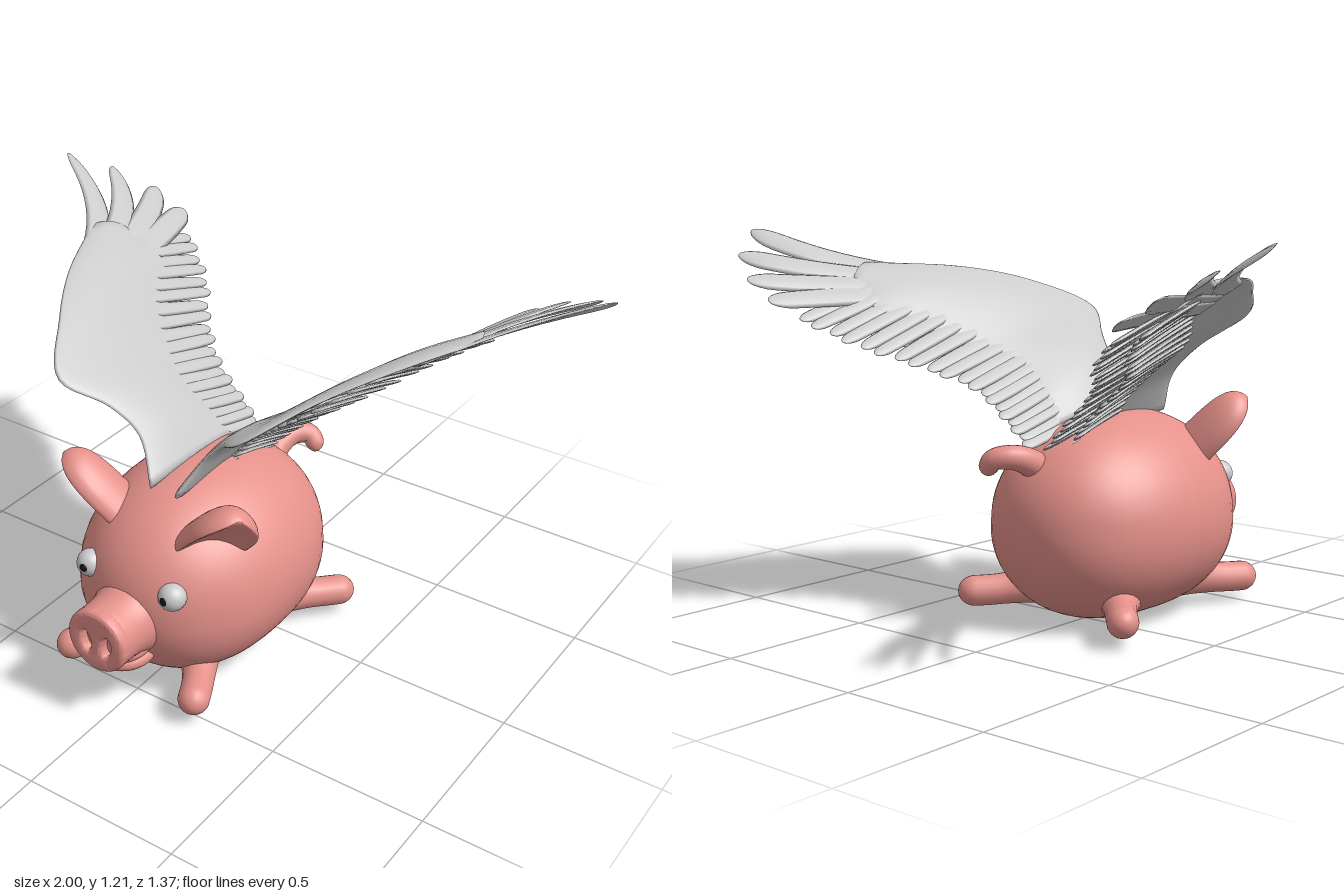
import * as THREE from 'three';
import { toCreasedNormals } from 'three/addons/utils/BufferGeometryUtils.js';

const V = (x, y, z) => new THREE.Vector3(x, y, z);
const path = pts => new THREE.CatmullRomCurve3(pts.map(p => V(...p)));
const pink = new THREE.MeshStandardMaterial({ color: 0xe5918a });
const grey = new THREE.MeshStandardMaterial({ color: 0xcccccc });
const black = new THREE.MeshStandardMaterial({ color: 0x111111 });

function mesh(name, geometry, material, parent) {
  const m = new THREE.Mesh(geometry, material);
  m.name = name;
  parent.add(m);
  return m;
}

// Closed skin over a row of rings; side = -1 mirrors it in x. Faces always end up outward.
function loft(rings, side = 1) {
  const n = rings[0].length, last = rings.length - 1, index = [];
  const pts = rings.flat();
  const centre = ring => ring.reduce((a, p) => a.add(p), V(0, 0, 0)).divideScalar(n);
  pts.push(centre(rings[0]), centre(rings[last]));
  const c0 = pts.length - 2, c1 = pts.length - 1;
  for (let j = 0; j < n; j++) {
    const k = (j + 1) % n;
    for (let i = 0; i < last; i++) {
      const a = i * n + j, b = i * n + k;
      index.push(a, b, a + n, b, b + n, a + n);
    }
    index.push(c0, k, j, c1, last * n + j, last * n + k);
  }
  const p = pts.map(q => V(q.x * side, q.y, q.z));
  let volume = 0;
  for (let i = 0; i < index.length; i += 3) {
    const [a, b, c] = [0, 1, 2].map(k => p[index[i + k]].clone().sub(p[0]));
    volume += a.dot(b.cross(c));
  }
  if (volume < 0) index.reverse();
  const g = new THREE.BufferGeometry().setFromPoints(p);
  g.setIndex(index);
  g.computeVertexNormals();
  return g;
}

// Round limb along a curve with a radius rule
function limb(curve, radius, side = 1, steps = 28, n = 16) {
  const rings = [], frames = curve.computeFrenetFrames(100);
  for (let i = 0; i <= steps; i++) {
    const s = Math.sin(i / steps * Math.PI / 2), c = curve.getPointAt(s), f = Math.round(s * 100);
    rings.push(Array.from({ length: n }, (_, j) => {
      const a = j / n * Math.PI * 2, r = radius(s);
      return c.clone().addScaledVector(frames.normals[f], r * Math.cos(a))
        .addScaledVector(frames.binormals[f], r * Math.sin(a));
    }));
  }
  return loft(rings, side);
}
const roundEnd = (s, from) => s < from ? 1 : Math.sqrt(Math.max(0.0001, 1 - ((s - from) / (1 - from)) ** 2));

// Thick cupped ear opening forward, outward and down
function earGeometry(side) {
  const base = V(0.195, 0.558, 0.352), u = V(0.125, 0.135, 0.052);
  const w = V(0.14, -0.06, -0.19).normalize(), nrm = w.clone().cross(u).normalize();
  const rings = [];
  for (let i = 0; i <= 20; i++) {
    const t = -0.3 + 1.3 * Math.sin(i / 20 * Math.PI / 2), q = Math.max(0, t);
    const hw = 0.108 * Math.max(0.01, 1 - q ** 2.6) ** 0.55, th = 0.038 * Math.max(0.02, 1 - q ** 6) ** 0.5;
    rings.push(Array.from({ length: 32 }, (_, j) => {
      const a = Math.cos(j / 32 * Math.PI * 2), b = Math.sin(j / 32 * Math.PI * 2);
      return base.clone().addScaledVector(u, t).addScaledVector(w, hw * a)
        .addScaledVector(nrm, th * Math.sign(b) * Math.abs(b) ** 0.6 + hw * (0.5 * a * a - 0.3));
    }));
  }
  return loft(rings, side);
}

// Wing edges from shoulder to hand, and the line of the feather tips
const leading = path([[0.045, 0.64, 0.35], [0.12, 0.77, 0.3], [0.2, 0.86, 0.335], [0.315, 0.95, 0.42],
  [0.45, 1.04, 0.25], [0.57, 1.085, 0.06], [0.71, 1.105, -0.23]]);
const trailing = path([[0.05, 0.62, -0.1], [0.12, 0.68, -0.1], [0.21, 0.755, -0.1], [0.32, 0.835, -0.16],
  [0.44, 0.915, -0.28], [0.54, 0.98, -0.38], [0.64, 1.03, -0.38]]);
const tips = path([[0.04, 0.575, -0.24], [0.12, 0.65, -0.25], [0.215, 0.73, -0.27], [0.34, 0.8, -0.38],
  [0.46, 0.87, -0.53], [0.6, 0.95, -0.635]]);

function wingPoint(t, v, lift = 0) {
  const a = leading.getPoint(t), chord = trailing.getPoint(t).sub(a);
  const up = leading.getPoint(Math.min(1, t + 0.1)).sub(leading.getPoint(Math.max(0, t - 0.1)));
  up.x += 0.1; up.z = 0;
  up.cross(chord).normalize();
  return a.addScaledVector(chord, v).addScaledVector(up, 0.022 * Math.sin(Math.PI * v) + lift);
}

// Flat feather with a blunt round tip, along a bent line
function feather(base, bend, tip, width, blunt, side) {
  const curve = new THREE.QuadraticBezierCurve3(base, bend, tip), rings = [];
  for (let i = 0; i <= 16; i++) {
    const s = Math.sin(i / 16 * Math.PI / 2), c = curve.getPoint(s), d = curve.getTangent(s);
    const across = V(0.75, 0.5, 0.05).addScaledVector(d, -V(0.75, 0.5, 0.05).dot(d)).normalize();
    const up = across.clone().cross(d).normalize();
    const w = width * roundEnd(s, blunt) * (0.8 + 0.2 * Math.sin(Math.PI * s));
    rings.push(Array.from({ length: 8 }, (_, j) => {
      const a = j / 8 * Math.PI * 2;
      return c.clone().addScaledVector(across, w * Math.cos(a))
        .addScaledVector(up, 0.006 * roundEnd(s, blunt) * Math.sin(a) - 0.12 * w * Math.cos(a) ** 2);
    }));
  }
  return loft(rings, side);
}

function buildWing(side) {
  const wing = new THREE.Group();
  wing.name = side > 0 ? 'leftWing' : 'rightWing';
  // Arm of the wing, thick in front and thin behind
  const rings = [];
  for (let i = 0; i <= 36; i++) {
    const t = i / 36, th = 0.022 * (1 - 0.6 * t);
    rings.push(Array.from({ length: 24 }, (_, j) => {
      const a = j / 24 * Math.PI * 2, v = 0.5 - 0.5 * Math.cos(a);
      return wingPoint(t, v, th * Math.sin(a) * (1.25 - v));
    }));
  }
  mesh('wingArm', loft(rings, side), grey, wing);
  // Four long spread feathers at the hand
  const long = [
    [[0.6, 1.07, -0.08], [0.725, 1.1, -0.38], [1.0, 1.21, -0.475]],
    [[0.585, 1.055, -0.1], [0.68, 1.08, -0.45], [0.91, 1.14, -0.6]],
    [[0.565, 1.035, -0.12], [0.645, 1.05, -0.47], [0.78, 1.07, -0.675]],
    [[0.54, 1.015, -0.12], [0.605, 1.02, -0.48], [0.67, 1.01, -0.685]]];
  for (const f of long) mesh('primaryFeather', feather(...f.map(p => V(...p)), 0.046, 0.84, side), grey, wing);
  // Rear feathers, with a shorter row beneath them
  const count = 20;
  for (let i = 0; i < count; i++) {
    const u = i / (count - 1), t = 0.02 + u * 0.88;
    for (const row of [0, 1]) {
      const base = wingPoint(t, 0.6, -0.008 - 0.016 * row);
      const tip = tips.getPoint(u);
      tip.z += (i % 2) * 0.015;
      if (row) tip.lerp(base, 0.3).add(V(0.01, -0.018, 0));
      const bend = base.clone().lerp(tip, 0.55).add(V(-0.002, 0.004, 0));
      mesh(row ? 'underFeather' : 'rearFeather', feather(base, bend, tip, 0.027, 0.88, side), grey, wing);
    }
  }
  return wing;
}

function ball(name, radii, at, parent) {
  const m = mesh(name, new THREE.SphereGeometry(1, 36, 24), pink, parent);
  m.scale.set(...radii);
  m.position.set(...at);
}

export function createModel() {
  const model = new THREE.Group();
  model.name = 'wingedPig';
  const pig = new THREE.Group();
  pig.name = 'pig';
  pig.position.x = -0.008;
  model.add(pig);

  // Plump body: a sphere squared off along its length, more so below
  const body = new THREE.SphereGeometry(1, 56, 40);
  const pos = body.attributes.position;
  for (let i = 0; i < pos.count; i++) {
    const p = V(0, 0, 0).fromBufferAttribute(pos, i), e = 2.15 + 0.5 * Math.max(0, -p.y);
    p.divideScalar((Math.hypot(p.x, p.y) ** e + Math.abs(p.z) ** e) ** (1 / e));
    pos.setXYZ(i, p.x * 0.34 * (1 - 0.05 * p.y), 0.33 + p.y * 0.328, 0.135 + p.z * 0.425);
  }
  body.computeVertexNormals();
  mesh('body', body, pink, pig);

  // Snout flowing out of the face, with a pierced front disc
  const profile = [[0, 0.46], [0.14, 0.48], [0.12, 0.53], [0.108, 0.565], [0.104, 0.6], [0.104, 0.63],
    [0.104, 0.662], [0.098, 0.667], [0.09, 0.652], [0, 0.65]];
  const snout = new THREE.LatheGeometry(profile.map(p => new THREE.Vector2(...p)), 40);
  snout.rotateX(Math.PI / 2);
  mesh('snout', snout, pink, pig).position.y = 0.293;
  const disc = new THREE.Shape().absellipse(0, 0, 0.089, 0.089, 0, Math.PI * 2);
  for (const s of [-1, 1]) {
    disc.holes.push(new THREE.Path().absellipse(s * 0.037, -0.008, 0.03, 0.05, 0, Math.PI * 2, true, -s * 0.15));
  }
  const front = new THREE.ExtrudeGeometry(disc, { depth: 0.018, bevelEnabled: true, bevelThickness: 0.016,
    bevelSize: 0.015, bevelSegments: 5, curveSegments: 36 });
  mesh('snoutDisc', toCreasedNormals(front, 0.8), pink, pig).position.set(0, 0.293, 0.647);

  // Muzzle, mouth and chin around the snout
  ball('muzzle', [0.15, 0.14, 0.1], [0, 0.265, 0.462], pig);
  ball('upperLip', [0.085, 0.045, 0.1], [0, 0.215, 0.545], pig);
  ball('lowerLip', [0.09, 0.045, 0.1], [0, 0.18, 0.535], pig);

  for (const side of [1, -1]) {
    const eye = mesh('eye', new THREE.SphereGeometry(0.043, 28, 20), grey, pig);
    eye.position.set(side * 0.152, 0.415, 0.502);
    const pupil = mesh('pupil', new THREE.SphereGeometry(0.017, 18, 12), black, pig);
    pupil.position.set(side * 0.149, 0.418, 0.532);
    mesh('ear', earGeometry(side), pink, pig);
    // Stubby legs splayed out diagonally
    const legRadius = s => (0.049 + 0.09 * Math.max(0, 0.6 - s) ** 1.7) * roundEnd(s, 0.83);
    mesh('frontLeg', limb(path([[0.1, 0.11, 0.3], [0.19, 0.085, 0.43], [0.255, 0.078, 0.56]]), legRadius, side), pink, pig);
    mesh('hindLeg', limb(path([[0.13, 0.11, 0.0], [0.24, 0.085, -0.13], [0.335, 0.08, -0.235]]), legRadius, side), pink, pig);
    model.add(buildWing(side));
  }

  // Thick curled tail
  const tail = path([[0.03, 0.48, -0.16], [0.035, 0.53, -0.235], [0.055, 0.548, -0.29],
    [0.095, 0.54, -0.325], [0.135, 0.495, -0.315]]);
  mesh('tail', limb(tail, s => (0.05 - 0.022 * s) * roundEnd(s, 0.88)), pink, pig);
  return model;
}
